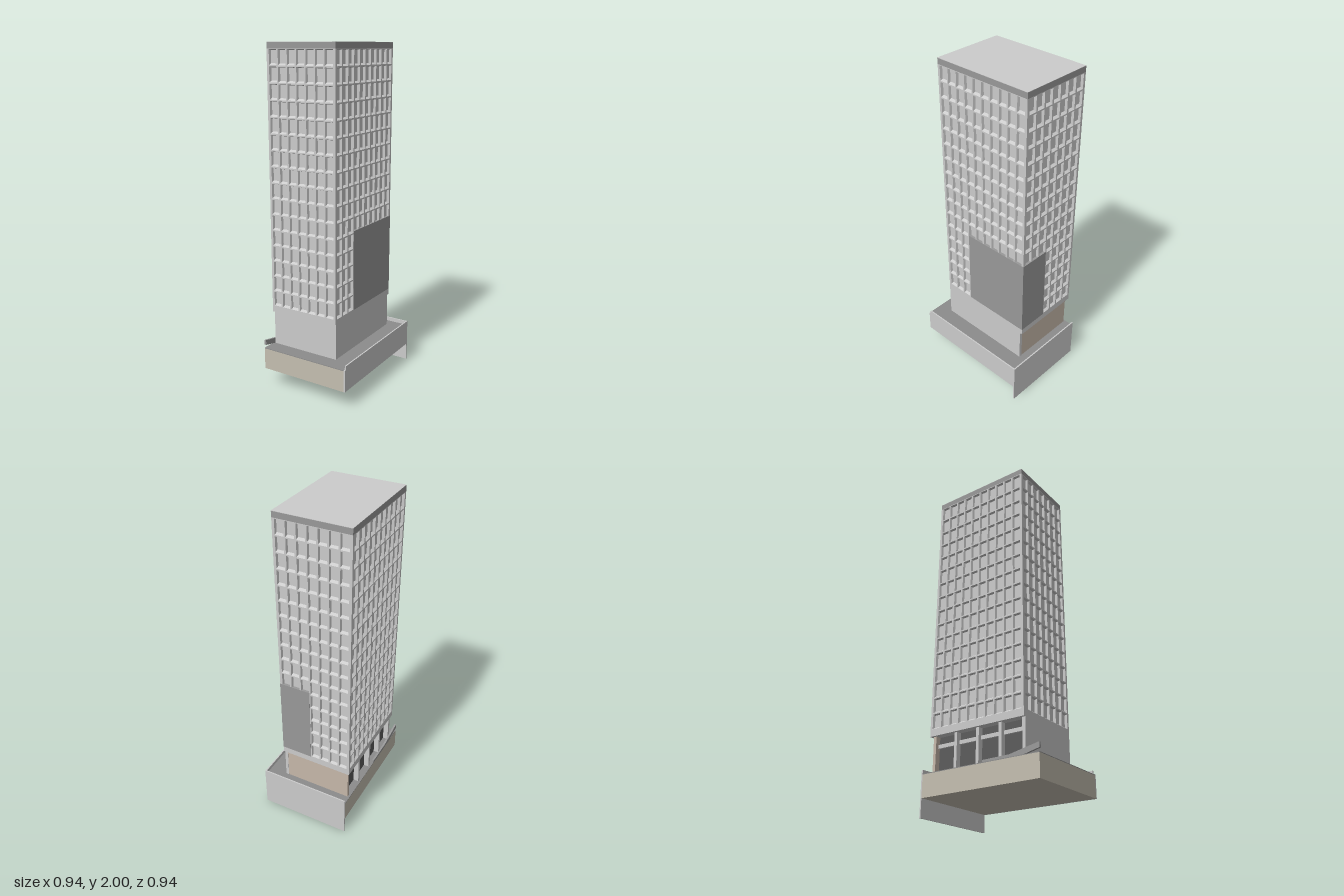
import * as THREE from 'three';

const mat = (color) => new THREE.MeshStandardMaterial({ color, flatShading: true });
const grey = mat(0xcccccc);
const darkGrey = mat(0x999999);
const deckGrey = mat(0x8c8c8c);
const tan = mat(0xc4beb0);
const warmTan = mat(0xc6b8aa);
const glass = mat(0x5c5c5c);

// Tower footprint in the building's own axes
const X0 = -0.293, X1 = 0.332, Z0 = -0.281, Z1 = 0.164;
const FACADE_Y0 = 0.475, FACADE_Y1 = 1.965, ROWS = 16, CORNER = 0.01;

// Box from its minimum and maximum corners
function box(parent, name, material, x0, x1, y0, y1, z0, z1) {
  const mesh = new THREE.Mesh(new THREE.BoxGeometry(x1 - x0, y1 - y0, z1 - z0), material);
  mesh.position.set((x0 + x1) / 2, (y0 + y1) / 2, (z0 + z1) / 2);
  mesh.name = name;
  parent.add(mesh);
  return mesh;
}

// Grid of recessed windows with splayed reveals, facing +z, starting at the lower left
function windowGrid(width, columns) {
  const verts = [];
  const quad = (a, b, c, d) => verts.push(...a, ...b, ...c, ...a, ...c, ...d);
  const pitchX = (width - 2 * CORNER) / columns;
  const pitchY = (FACADE_Y1 - FACADE_Y0) / ROWS;
  const ring = (x, y, mx, bottom, top, z) => [
    [x + mx, y + bottom, z], [x + pitchX - mx, y + bottom, z],
    [x + pitchX - mx, y + pitchY - top, z], [x + mx, y + pitchY - top, z],
  ];
  for (let i = 0; i < columns; i++) {
    for (let j = 0; j < ROWS; j++) {
      const x = CORNER + i * pitchX, y = j * pitchY;
      const rings = [
        ring(x, y, 0, 0, 0, 0),
        ring(x, y, 0.005, 0.004, 0.004, 0),
        ring(x, y, 0.009, 0.014, 0.008, -0.014),
      ];
      for (let r = 0; r < 2; r++) {
        for (let k = 0; k < 4; k++) {
          const n = (k + 1) % 4;
          quad(rings[r][k], rings[r][n], rings[r + 1][n], rings[r + 1][k]);
        }
      }
      quad(...rings[2]);
    }
  }
  const geometry = new THREE.BufferGeometry();
  geometry.setAttribute('position', new THREE.Float32BufferAttribute(verts, 3));
  geometry.computeVertexNormals();
  return geometry;
}

function buildTower() {
  const tower = new THREE.Group();
  tower.name = 'tower';

  // Four window facades
  const facades = [
    ['longFacadeFront', X1 - X0, 10, X0, Z1, 0],
    ['shortFacadeLeft', Z1 - Z0, 7, X1, Z1, Math.PI / 2],
    ['longFacadeBack', X1 - X0, 10, X1, Z0, Math.PI],
    ['shortFacadeRight', Z1 - Z0, 7, X0, Z0, -Math.PI / 2],
  ];
  for (const [name, width, columns, x, z, turn] of facades) {
    const mesh = new THREE.Mesh(windowGrid(width, columns), grey);
    mesh.name = name;
    mesh.position.set(x, FACADE_Y0, z);
    mesh.rotation.y = turn;
    tower.add(mesh);
  }

  // Corner posts
  for (const x of [X0, X1 - CORNER]) {
    for (const z of [Z0, Z1 - CORNER]) {
      box(tower, 'cornerPost', grey, x, x + CORNER, FACADE_Y0, FACADE_Y1, z, z + CORNER);
    }
  }

  // Blank wall wrapping one corner
  box(tower, 'blankCornerWall', darkGrey, -0.098, X1 + 0.001, FACADE_Y0, 0.955, -0.027, Z1 + 0.001);

  // Roof edge and roof
  box(tower, 'roofEdge', darkGrey, X0, X1, FACADE_Y1, 1.998, Z0, Z1);
  box(tower, 'roof', grey, X0, X1, 1.998, 2, Z0, Z1);
  return tower;
}

function buildLobby() {
  const lobby = new THREE.Group();
  lobby.name = 'lobby';
  const floor = 0.235, soffit = 0.437, outer = -0.267, glassZ = -0.235, end = 0.318;

  // Slab under the window floors and solid walls
  box(lobby, 'transferSlab', grey, X0, X1, soffit, FACADE_Y0, Z0, Z1);
  box(lobby, 'frontWall', grey, X0, end, floor, soffit, 0.145, Z1);
  box(lobby, 'rightEndWall', grey, X0, X0 + 0.02, floor, soffit, outer, 0.145);
  box(lobby, 'leftEndWall', warmTan, end - 0.02, end - 0.002, floor, soffit, outer, 0.145);

  // Recessed glazing with columns and transoms
  box(lobby, 'lobbyGlass', glass, X0 + 0.02, end - 0.02, floor, soffit, glassZ, glassZ + 0.01);
  const bays = 4, pitch = (end - X0 - 0.02) / bays;
  for (let i = 0; i < bays; i++) {
    const x = X0 + 0.01 + i * pitch;
    if (i > 0) box(lobby, 'lobbyColumn', grey, x - 0.009, x + 0.009, floor, soffit, outer, glassZ);
    box(lobby, 'lobbyTransom', grey, x + 0.01, x + pitch - 0.01, 0.372, 0.394, glassZ - 0.012, glassZ);
  }
  return lobby;
}

function buildPodium() {
  const podium = new THREE.Group();
  podium.name = 'podium';
  const hx = 0.382, hz = 0.28, t = 0.008, bottom = 0.105, top = 0.26;

  // Body with darker deck
  box(podium, 'podiumBody', tan, -hx, hx - t, bottom, 0.233, -hz, hz - t);
  box(podium, 'deck', deckGrey, -hx, hx - t, 0.233, 0.237, -hz, hz - t);

  // Grey outer walls rising into parapets, one reaching the ground
  box(podium, 'frontParapetWall', grey, -hx, hx - t, bottom, 0.237, hz - t, hz);
  box(podium, 'frontParapet', grey, -hx + 0.012, hx - t, 0.237, top, hz - t, hz);
  box(podium, 'leftEndWall', grey, hx - t, hx, 0, top, -hz, hz);

  // Low ramp wall at the back edge, kinked upward at the end
  const profile = new THREE.Shape([
    [-0.382, 0.257], [-0.29, 0.237], [-0.03, 0.237], [-0.03, 0.249], [-0.2, 0.251], [-0.382, 0.287],
  ].map(([x, y]) => new THREE.Vector2(x, y)));
  const ramp = new THREE.Mesh(new THREE.ExtrudeGeometry(profile, { depth: 0.012, bevelEnabled: false }), darkGrey);
  ramp.name = 'rampWall';
  ramp.position.z = -hz;
  podium.add(ramp);
  return podium;
}

export function createModel() {
  const model = new THREE.Group();
  model.name = 'officeTower';
  const building = new THREE.Group();
  building.name = 'building';
  // The block stands diagonally
  building.rotation.y = Math.PI / 4;
  building.add(buildTower(), buildLobby(), buildPodium());
  model.add(building);
  return model;
}
